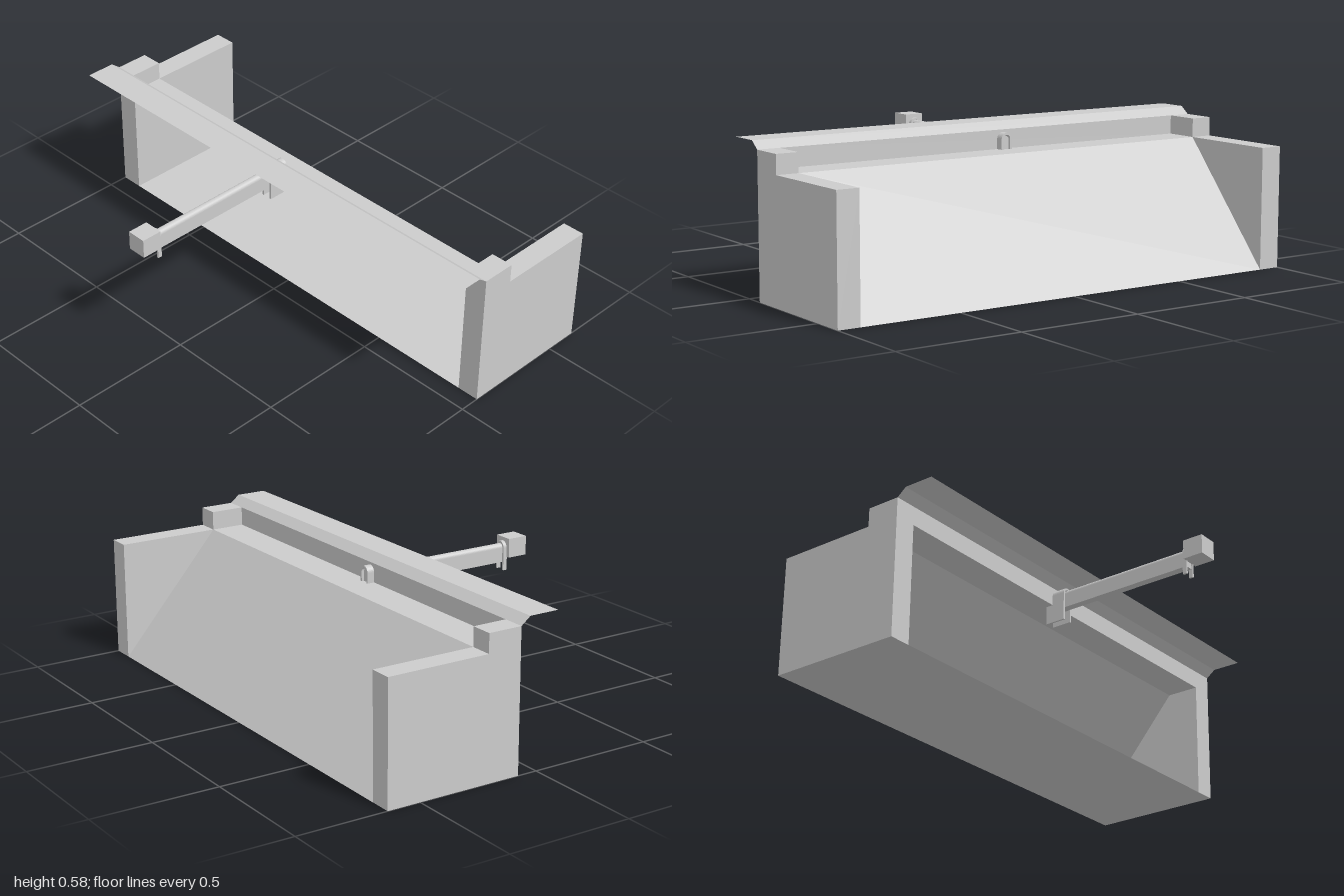
import * as THREE from 'three';

const grey = new THREE.MeshStandardMaterial({ color: 0xcccccc, flatShading: true });
const sheetGrey = new THREE.MeshStandardMaterial({ color: 0xcccccc, flatShading: true, side: THREE.DoubleSide });

// Thin sheet: an (x, y) profile swept along z from -half to +half
function sheet(name, profile, half) {
  const pos = [];
  for (let i = 0; i < profile.length - 1; i++) {
    const [ax, ay] = profile[i], [bx, by] = profile[i + 1];
    pos.push(ax, ay, half, bx, by, half, bx, by, -half);
    pos.push(ax, ay, half, bx, by, -half, ax, ay, -half);
  }
  const geo = new THREE.BufferGeometry();
  geo.setAttribute('position', new THREE.Float32BufferAttribute(pos, 3));
  geo.computeVertexNormals();
  const mesh = new THREE.Mesh(geo, sheetGrey);
  mesh.name = name;
  return mesh;
}

// Round-topped bar along x from x0 to x1; a wall thickness leaves it open below
function arch(name, x0, x1, bottom, top, r, wall = 0) {
  const s = new THREE.Shape();
  s.moveTo(r, bottom);
  s.lineTo(r, top - r);
  s.absarc(0, top - r, r, 0, Math.PI, false);
  s.lineTo(-r, bottom);
  if (wall) {
    s.lineTo(wall - r, bottom);
    s.lineTo(wall - r, top - r);
    s.absarc(0, top - r, r - wall, Math.PI, 0, true);
    s.lineTo(r - wall, bottom);
  }
  s.closePath();
  const geo = new THREE.ExtrudeGeometry(s, { depth: x1 - x0, bevelEnabled: false, curveSegments: 8 });
  geo.rotateY(Math.PI / 2).translate(x0, 0, 0);
  const mesh = new THREE.Mesh(geo, grey);
  mesh.name = name;
  return mesh;
}

export function createModel() {
  const model = new THREE.Group();

  // Stepped walls at both ends
  const outline = [[0.08, 0], [0.634, 0], [0.634, 0.48], [0.218, 0.48], [0.218, 0.555], [0.08, 0.555]];
  const wallShape = new THREE.Shape(outline.map(p => new THREE.Vector2(...p)));
  for (const [name, z] of [['frontEndWall', 0.91], ['backEndWall', -1]]) {
    const geo = new THREE.ExtrudeGeometry(wallShape, { depth: 0.09, bevelEnabled: false });
    const wall = new THREE.Mesh(geo, grey);
    wall.name = name;
    wall.position.z = z;
    model.add(wall);
  }

  // Hollow body, open at the rear: upstand, ledge, ramp and floor
  model.add(sheet('rampBody', [[0.08, 0.555], [0.08, 0.48], [0.218, 0.48], [0.634, 0], [0.08, 0]], 0.91));

  // Bent top plate overhanging the open side
  model.add(sheet('topPlate', [[-0.08, 0.585], [0.042, 0.585], [0.08, 0.555]], 1));

  // Arm with its collar, clip and end block
  const arm = new THREE.Group();
  arm.name = 'arm';
  arm.position.z = -0.066;
  arm.add(arch('armBar', -0.55, 0.1, 0.458, 0.532, 0.016));
  arm.add(arch('collar', 0.025, 0.11, 0.405, 0.545, 0.024, 0.008));
  arm.add(arch('clip', -0.555, -0.538, 0.425, 0.541, 0.024, 0.008));
  const block = new THREE.Mesh(new THREE.BoxGeometry(0.084, 0.077, 0.079), grey);
  block.name = 'endBlock';
  block.position.set(-0.595, 0.517, 0);
  arm.add(block);
  model.add(arm);

  return model;
}
